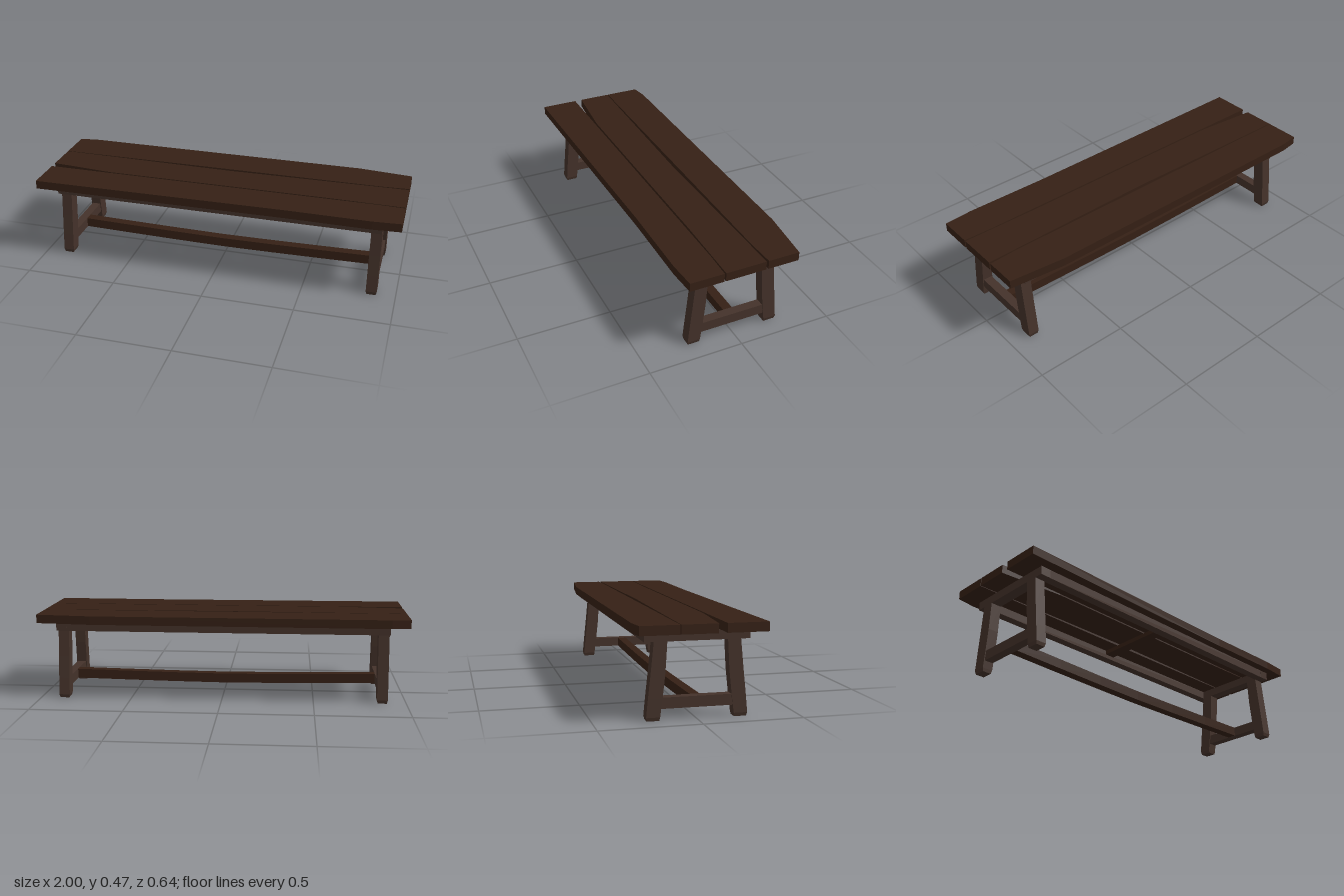
import * as THREE from 'three';

const plankMat = new THREE.MeshStandardMaterial({ color: 0x352015, flatShading: true });
const frameMat = new THREE.MeshStandardMaterial({ color: 0x44322a, flatShading: true });

function addMesh(parent, name, geometry, material) {
  const mesh = new THREE.Mesh(geometry, material);
  mesh.name = name;
  parent.add(mesh);
  return mesh;
}

// Box given by its minimum and maximum along each axis
function addBox(parent, name, [x0, x1], [y0, y1], [z0, z1], material) {
  const geo = new THREE.BoxGeometry(x1 - x0, y1 - y0, z1 - z0);
  geo.translate((x0 + x1) / 2, (y0 + y1) / 2, (z0 + z1) / 2);
  return addMesh(parent, name, geo, material);
}

// Board with a hand-cut outline of [x, z] points
function plankGeometry(outline, y, thickness) {
  const shape = new THREE.Shape(outline.map(([x, z]) => new THREE.Vector2(x, -z)));
  const geo = new THREE.ExtrudeGeometry(shape, { depth: thickness, bevelEnabled: false });
  geo.rotateX(-Math.PI / 2);
  geo.translate(0, y, 0);
  return geo;
}

// Splayed leg: rows of [y, inner z, outer z, half width in x]
const legRows = [
  [0, 0.185, 0.246, 0.024],
  [0.018, 0.182, 0.25, 0.029],
  [0.11, 0.17, 0.241, 0.029],
  [0.23, 0.157, 0.228, 0.029],
  [0.38, 0.148, 0.213, 0.029],
];
function legGeometry(side) {
  const n = legRows.length - 1;
  const geo = new THREE.BoxGeometry(1, 1, 1, 1, n, 1);
  const p = geo.attributes.position;
  for (let i = 0; i < p.count; i++) {
    const [y, zin, zout, hw] = legRows[Math.round((p.getY(i) + 0.5) * n)];
    const outward = p.getZ(i) * side > 0;
    p.setXYZ(i, Math.sign(p.getX(i)) * hw, y, side * (outward ? zout : zin));
  }
  geo.computeVertexNormals();
  return geo;
}

export function createModel() {
  const bench = new THREE.Group();
  bench.name = 'bench';

  // Seat planks
  const planks = {
    backPlank: [[-1, -0.305], [-0.9, -0.319], [0.7, -0.319], [1, -0.288], [1, -0.12], [0.85, -0.113], [-1, -0.113]],
    middlePlank: [[-1, -0.109], [-0.55, -0.102], [0, -0.093], [0.4, -0.099], [1, -0.108],
      [1, 0.109], [0.6, 0.102], [-0.65, 0.102], [-1, 0.07]],
    frontPlank: [[-1, 0.112], [0.85, 0.112], [1, 0.117], [1, 0.297], [0.85, 0.307], [0.4, 0.302], [-1, 0.317]],
  };
  for (const [name, outline] of Object.entries(planks)) {
    addMesh(bench, name, plankGeometry(outline, 0.424, 0.046), plankMat);
  }

  // End frames: legs, top beam and low crossbar
  for (const s of [-1, 1]) {
    const frame = new THREE.Group();
    frame.name = s > 0 ? 'leftEndFrame' : 'rightEndFrame';
    frame.position.x = s * 0.871;
    for (const side of [-1, 1]) {
      addMesh(frame, side > 0 ? 'frontLeg' : 'backLeg', legGeometry(side), frameMat);
    }
    addBox(frame, 'topBeam', [-0.029, 0.029], [0.378, 0.424], [-0.26, 0.26], frameMat);
    addBox(frame, 'crossbar', [-0.024, 0.024], [0.057, 0.111], [-0.176, 0.176], frameMat);
    bench.add(frame);
  }

  // Long rails under the seat
  for (const side of [-1, 1]) {
    const z = side * 0.235;
    addBox(bench, side > 0 ? 'frontRail' : 'backRail', [-0.845, 0.845], [0.378, 0.424], [z - 0.024, z + 0.024], frameMat);
  }

  // Cleat across the middle of the seat
  addBox(bench, 'middleCleat', [-0.03, 0.03], [0.4, 0.424], [-0.212, 0.212], plankMat);

  // Sagging stretcher between the end frames
  const stretcher = new THREE.BoxGeometry(1.7, 0.052, 0.05, 6, 1, 1);
  const p = stretcher.attributes.position;
  for (let i = 0; i < p.count; i++) {
    const t = p.getX(i) / 0.85;
    p.setY(i, p.getY(i) + 0.071 + 0.013 * Math.pow(Math.abs(t), 1.4));
  }
  stretcher.translate(0, 0, 0.002);
  stretcher.computeVertexNormals();
  addMesh(bench, 'stretcher', stretcher, plankMat);

  return bench;
}
